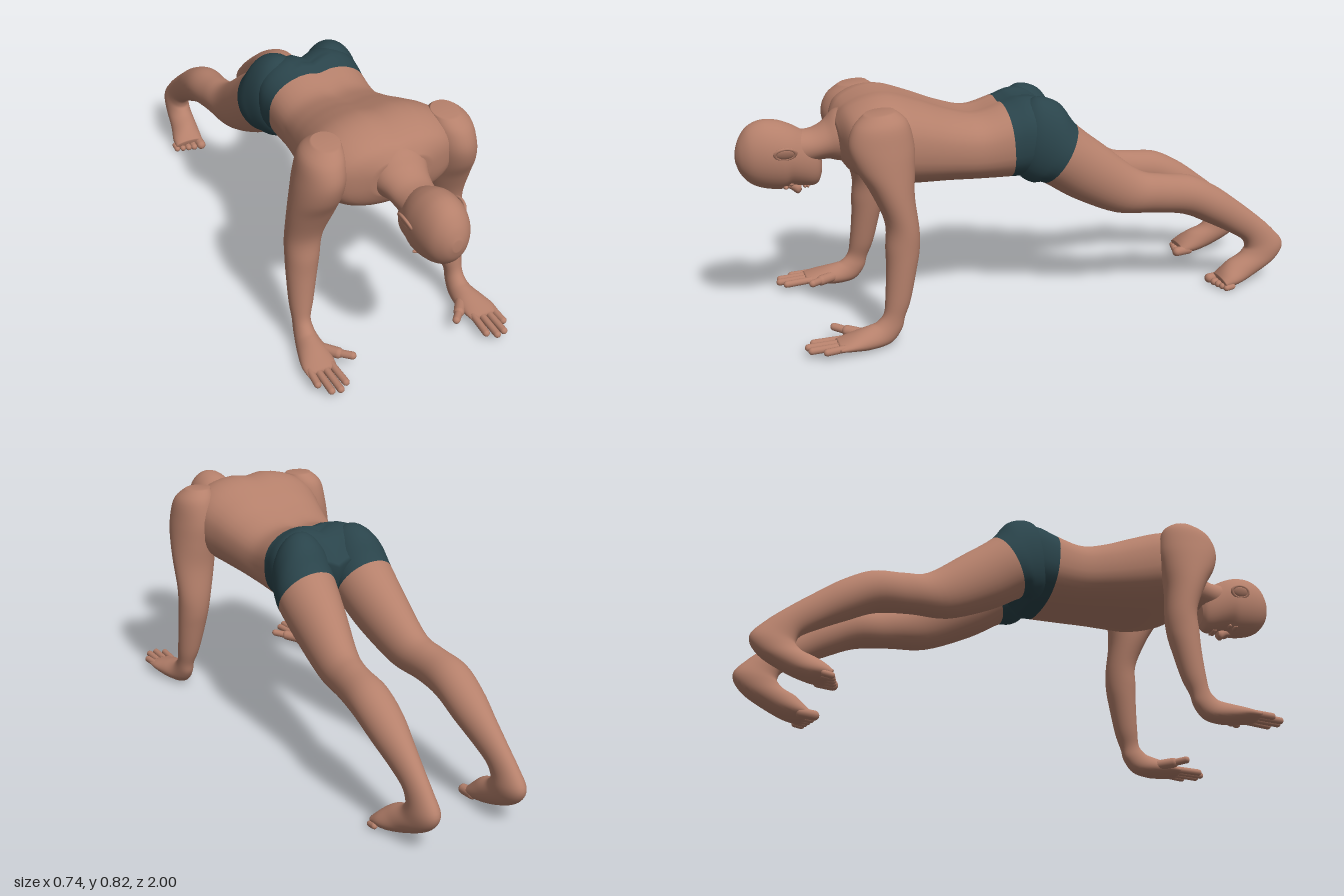
import * as THREE from 'three';

const skin = new THREE.MeshStandardMaterial({ color: 0xb5806b });
skin.name = 'skin';
const cloth = new THREE.MeshStandardMaterial({ color: 0x2a444b });
cloth.name = 'shortsCloth';

const SIDES = 36, STEPS = 5;

function spline(a, b, c, d, t) {
  return b + 0.5 * t * (c - a + t * (2 * a - 5 * b + 4 * c - d + t * (3 * (b - c) + d - a)));
}

// Skin a surface over rings [z1, y1, z2, y2, centreX, halfWidth]: each ring is an
// oval between the edge points (z1,y1) and (z2,y2). Material changes at ring `split`.
function loft(name, rings, { side = 1, power = 1, materials = [skin], split = rings.length, shape } = {}) {
  const at = i => rings[Math.max(0, Math.min(rings.length - 1, i))];
  const rows = [];
  for (let i = 0; i < rings.length - 1; i++) {
    for (let s = 0; s < STEPS; s++) {
      rows.push(at(i).map((v, k) => spline(at(i - 1)[k], v, at(i + 1)[k], at(i + 2)[k], s / STEPS)));
    }
  }
  rows.push(rings[rings.length - 1]);
  const pos = [], idx = [], v = new THREE.Vector3();
  const bend = c => Math.sign(c) * Math.abs(c) ** power;
  for (const [z1, y1, z2, y2, cx, rx] of rows) {
    for (let j = 0; j < SIDES; j++) {
      const a = (j / SIDES) * Math.PI * 2, c = bend(Math.cos(a)), u = bend(Math.sin(a));
      v.set(cx + rx * c, (y1 + y2) / 2 + (u * (y1 - y2)) / 2, (z1 + z2) / 2 + (u * (z1 - z2)) / 2);
      if (shape) shape(v, u);
      pos.push(v.x * side, v.y, v.z);
    }
  }
  const last = rows.length - 1, capA = rows.length * SIDES;
  for (const [z1, y1, z2, y2, cx] of [rows[0], rows[last]]) pos.push(cx * side, (y1 + y2) / 2, (z1 + z2) / 2);
  for (let j = 0; j < SIDES; j++) idx.push(capA, (j + 1) % SIDES, j);
  for (let i = 0; i < last; i++) {
    for (let j = 0; j < SIDES; j++) {
      const a = i * SIDES + j, b = i * SIDES + ((j + 1) % SIDES);
      idx.push(a, b, a + SIDES, b, b + SIDES, a + SIDES);
    }
  }
  for (let j = 0; j < SIDES; j++) idx.push(capA + 1, last * SIDES + j, last * SIDES + ((j + 1) % SIDES));

  // Turn all faces outward
  const p = k => new THREE.Vector3().fromArray(pos, idx[k] * 3);
  let volume = 0;
  for (let k = 0; k < idx.length; k += 3) volume += p(k).dot(p(k + 1).cross(p(k + 2)));
  if (volume < 0) for (let k = 0; k < idx.length; k += 3) [idx[k + 1], idx[k + 2]] = [idx[k + 2], idx[k + 1]];

  const geo = new THREE.BufferGeometry();
  geo.setAttribute('position', new THREE.Float32BufferAttribute(pos, 3));
  geo.setIndex(idx);
  geo.computeVertexNormals();
  if (materials.length > 1) {
    const cut = SIDES * 3 + split * STEPS * SIDES * 6;
    geo.addGroup(0, cut, 0);
    geo.addGroup(cut, idx.length - cut, 1);
  }
  const mesh = new THREE.Mesh(geo, materials.length > 1 ? materials : materials[0]);
  mesh.name = name;
  return mesh;
}

// Rounded rod between two points, for fingers and toes
function digit(name, a, b, r, flat = 1) {
  const from = new THREE.Vector3(...a), to = new THREE.Vector3(...b);
  const dir = to.clone().sub(from);
  const geo = new THREE.CapsuleGeometry(r, dir.length(), 6, 14);
  const mesh = new THREE.Mesh(geo, skin);
  mesh.quaternion.setFromUnitVectors(new THREE.Vector3(0, 1, 0), dir.normalize());
  mesh.position.copy(from).lerp(to, 0.5);
  mesh.scale.x = flat;
  mesh.name = name;
  return mesh;
}

function ball(name, position, scale) {
  const mesh = new THREE.Mesh(new THREE.SphereGeometry(1, 24, 16), skin);
  mesh.position.set(...position);
  mesh.scale.set(...scale);
  mesh.name = name;
  return mesh;
}

function makeHead() {
  const head = new THREE.Group();
  head.name = 'head';
  head.add(loft('skull', [
    [0.999, 0.64, 0.999, 0.60, 0, 0.016], [0.985, 0.682, 0.985, 0.562, 0, 0.044],
    [0.955, 0.722, 0.955, 0.527, 0, 0.071], [0.91, 0.741, 0.91, 0.506, 0, 0.086],
    [0.86, 0.738, 0.85, 0.497, 0, 0.091], [0.82, 0.724, 0.82, 0.508, 0, 0.087],
    [0.785, 0.705, 0.785, 0.503, 0, 0.077], [0.75, 0.68, 0.75, 0.498, 0, 0.063],
    [0.725, 0.65, 0.727, 0.505, 0, 0.048], [0.712, 0.61, 0.715, 0.53, 0, 0.03],
  ]));
  head.add(loft('neck', [
    [0.60, 0.78, 0.58, 0.575, 0, 0.12], [0.66, 0.755, 0.65, 0.58, 0, 0.095],
    [0.70, 0.718, 0.69, 0.59, 0, 0.08], [0.75, 0.697, 0.74, 0.585, 0, 0.072],
    [0.82, 0.70, 0.79, 0.57, 0, 0.068],
  ]));
  head.add(loft('nose', [
    [0.848, 0.499, 0.848, 0.52, 0, 0.008], [0.82, 0.49, 0.82, 0.52, 0, 0.012],
    [0.797, 0.472, 0.80, 0.515, 0, 0.018], [0.783, 0.482, 0.785, 0.512, 0, 0.015],
  ]));
  for (const z of [0.772, 0.762]) head.add(ball('lip', [0, 0.5, z], [0.025, 0.008, 0.006]));
  for (const s of [-1, 1]) {
    head.add(ball('eyelid', [0.033 * s, 0.52, 0.822], [0.015, 0.009, 0.009]));
    head.add(ball('browRidge', [0.034 * s, 0.512, 0.842], [0.026, 0.008, 0.009]));
    // Ear: thin bowl with a raised rim
    const ear = new THREE.Group();
    ear.name = 'ear';
    ear.add(ball('earBowl', [0, 0, 0], [0.007, 0.021, 0.034]));
    const rim = new THREE.Mesh(new THREE.TorusGeometry(0.024, 0.005, 8, 28), skin);
    rim.rotation.y = Math.PI / 2;
    rim.scale.set(1.4, 0.9, 1);
    rim.name = 'earRim';
    ear.add(rim);
    ear.position.set(0.095 * s, 0.643, 0.845);
    ear.rotation.z = -0.4 * s;
    head.add(ear);
  }
  return head;
}

function makeArm(side) {
  const arm = new THREE.Group();
  arm.name = side > 0 ? 'leftArm' : 'rightArm';
  arm.add(loft('armAndPalm', [
    [0.60, 0.79, 0.50, 0.80, 0.215, 0.045], [0.643, 0.75, 0.46, 0.762, 0.23, 0.07],
    [0.662, 0.69, 0.442, 0.68, 0.238, 0.08], [0.645, 0.62, 0.445, 0.60, 0.247, 0.082],
    [0.60, 0.54, 0.45, 0.51, 0.255, 0.08], [0.555, 0.43, 0.44, 0.40, 0.268, 0.065],
    [0.557, 0.34, 0.442, 0.33, 0.274, 0.058], [0.558, 0.27, 0.455, 0.265, 0.28, 0.052],
    [0.566, 0.17, 0.48, 0.16, 0.29, 0.041], [0.575, 0.115, 0.503, 0.10, 0.297, 0.031],
    [0.60, 0.087, 0.516, 0.055, 0.298, 0.033], [0.625, 0.079, 0.555, 0.012, 0.30, 0.04],
    [0.66, 0.07, 0.625, 0.002, 0.305, 0.052], [0.70, 0.058, 0.69, 0.01, 0.312, 0.057],
    [0.74, 0.046, 0.74, 0.017, 0.315, 0.053],
  ], { side }));
  // Fingers: base x, tip x, tip z
  for (const [x0, x1, z] of [[0.275, 0.269, 0.812], [0.302, 0.299, 0.834], [0.329, 0.329, 0.828], [0.353, 0.356, 0.782]]) {
    arm.add(digit('finger', [x0 * side, 0.034, 0.72], [x1 * side, 0.03, z], 0.0125));
  }
  arm.add(digit('thumb', [0.268 * side, 0.04, 0.645], [0.235 * side, 0.044, 0.69], 0.019));
  arm.add(digit('thumbTip', [0.235 * side, 0.044, 0.69], [0.201 * side, 0.049, 0.728], 0.0135));
  return arm;
}

function makeLeg(side) {
  const leg = new THREE.Group();
  leg.name = side > 0 ? 'leftLeg' : 'rightLeg';
  leg.add(loft('legAndFoot', [
    [0.03, 0.72, 0.05, 0.53, 0.10, 0.06], [-0.03, 0.768, 0.025, 0.485, 0.103, 0.093],
    [-0.11, 0.745, -0.01, 0.465, 0.111, 0.105], [-0.172, 0.665, -0.05, 0.462, 0.117, 0.108],
    [-0.28, 0.578, -0.16, 0.395, 0.125, 0.093], [-0.41, 0.477, -0.32, 0.327, 0.14, 0.071],
    [-0.50, 0.455, -0.46, 0.315, 0.153, 0.063], [-0.61, 0.44, -0.58, 0.298, 0.159, 0.07],
    [-0.71, 0.39, -0.68, 0.252, 0.159, 0.065], [-0.80, 0.325, -0.77, 0.205, 0.16, 0.05],
    [-0.88, 0.262, -0.83, 0.168, 0.162, 0.04], [-0.95, 0.20, -0.845, 0.137, 0.164, 0.039],
    [-0.996, 0.14, -0.835, 0.12, 0.165, 0.044], [-0.965, 0.082, -0.815, 0.105, 0.168, 0.046],
    [-0.88, 0.033, -0.775, 0.088, 0.174, 0.05], [-0.80, 0.006, -0.745, 0.064, 0.183, 0.058],
    [-0.74, 0.003, -0.725, 0.042, 0.186, 0.056],
  ], { side, materials: [cloth, skin], split: 3 }));
  // Toes, largest on the inside
  for (let i = 0; i < 5; i++) {
    const r = i === 0 ? 0.018 : 0.0135 - i * 0.0006;
    const x = i === 0 ? 0.144 : 0.15 + i * 0.0225;
    leg.add(digit('toe', [x * side, r + 0.004, -0.76], [x * side, r, -0.712 - i * 0.006], r));
  }
  return leg;
}

export function createModel() {
  const model = new THREE.Group();
  model.name = 'pushUpFigure';

  // Torso with a groove along the spine, deepening between the buttocks
  model.add(loft('torso', [
    [0.67, 0.735, 0.655, 0.60, 0, 0.10], [0.635, 0.785, 0.62, 0.55, 0, 0.20],
    [0.56, 0.818, 0.55, 0.52, 0, 0.245], [0.48, 0.82, 0.47, 0.50, 0, 0.25],
    [0.38, 0.787, 0.39, 0.493, 0, 0.228], [0.28, 0.748, 0.29, 0.488, 0, 0.204],
    [0.18, 0.725, 0.18, 0.48, 0, 0.186], [0.08, 0.75, 0.062, 0.475, 0, 0.188],
    [0.0, 0.773, 0.0, 0.475, 0, 0.194], [-0.07, 0.75, -0.04, 0.495, 0, 0.175],
    [-0.135, 0.68, -0.10, 0.53, 0, 0.11],
  ], {
    power: 0.82, materials: [skin, cloth], split: 7,
    shape(v, u) {
      const depth = v.z < 0.02 ? 0.03 : 0.013;
      if (u > 0) v.y -= u * depth * Math.exp(-((v.x / 0.035) ** 2));
    },
  }));

  model.add(makeHead());
  for (const side of [-1, 1]) model.add(makeArm(side), makeLeg(side));
  return model;
}
